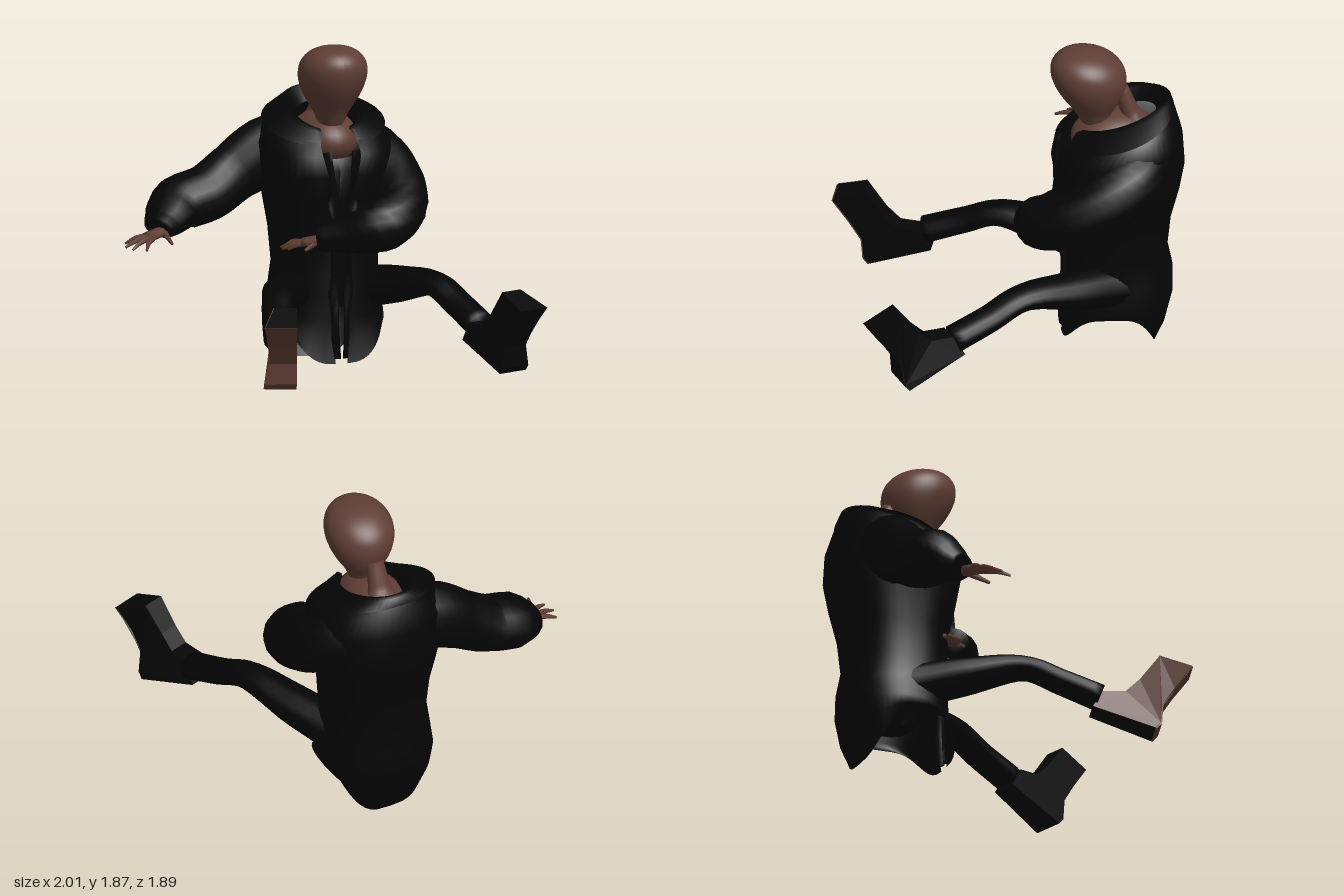
import * as THREE from 'three';

const V = (x, y, z) => new THREE.Vector3(x, y, z);
const CX = 0.18; // body centre line

const mat = (name, color, side = THREE.FrontSide) => {
  const m = new THREE.MeshStandardMaterial({ color, side });
  m.name = name;
  return m;
};

// Skin a list of rings (equal length) into one smooth surface
function loft(rings, closed, capped) {
  const n = rings[0].length, pos = [], idx = [];
  rings.forEach(r => r.forEach(p => pos.push(p.x, p.y, p.z)));
  const steps = closed ? n : n - 1;
  for (let i = 0; i < rings.length - 1; i++)
    for (let j = 0; j < steps; j++) {
      const a = i * n + j, b = i * n + (j + 1) % n, c = a + n, d = b + n;
      idx.push(a, c, b, b, c, d);
    }
  if (capped) [0, rings.length - 1].forEach((i, end) => {
    const c = rings[i].reduce((s, p) => s.add(p), V(0, 0, 0)).divideScalar(n);
    const k = pos.length / 3;
    pos.push(c.x, c.y, c.z);
    for (let j = 0; j < n; j++) {
      const a = i * n + j, b = i * n + (j + 1) % n;
      if (end) idx.push(k, b, a); else idx.push(k, a, b);
    }
  });
  const g = new THREE.BufferGeometry();
  g.setAttribute('position', new THREE.Float32BufferAttribute(pos, 3));
  g.setIndex(idx);
  g.computeVertexNormals();
  return g;
}

// Limb along points [x, y, z, sideRadius, upRadius]
function limb(pts, steps = 16, sides = 16) {
  const curve = new THREE.CatmullRomCurve3(pts.map(p => V(p[0], p[1], p[2])));
  const rings = [];
  for (let i = 0; i <= steps; i++) {
    const t = i / steps, f = t * (pts.length - 1);
    const k = Math.min(Math.floor(f), pts.length - 2);
    const mix = c => THREE.MathUtils.lerp(pts[k][c] ?? pts[k][3], pts[k + 1][c] ?? pts[k + 1][3], f - k);
    const c = curve.getPoint(t), T = curve.getTangent(t);
    const S = T.clone().cross(V(0, 1, 0)).normalize(), U = S.clone().cross(T);
    rings.push(Array.from({ length: sides }, (_, j) => {
      const a = j / sides * Math.PI * 2;
      return c.clone().addScaledVector(S, Math.cos(a) * mix(3)).addScaledVector(U, Math.sin(a) * mix(4));
    }));
  }
  return loft(rings, true, true);
}

// Open band around the body; levels are [y, rx, zc, rz, backLift, frontGap, hemArch, boxiness]
function wrap(levels, n = 48) {
  return loft(levels.map(([y, rx, zc, rz, lift = 0, gap = 0.1, arch = 0, box = 1]) =>
    Array.from({ length: n + 1 }, (_, j) => {
      const a = gap + (Math.PI * 2 - 2 * gap) * j / n, s = Math.sin(a), c = Math.cos(a);
      const round = v => Math.sign(v) * Math.pow(Math.abs(v), box);
      const drop = arch * s * s + (arch && c > 0 ? 0.07 * c : 0);
      return V(CX - rx * round(s), y - lift * c + drop, zc + rz * round(c));
    })), false, false);
}

export function createModel() {
  const model = new THREE.Group();
  model.name = 'seatedFigure';
  const skin = mat('skin', 0x5f3e35);
  const cloth = mat('coatBlack', 0x050505, THREE.DoubleSide);
  const trouser = mat('trouserBlack', 0x040404);
  const leather = mat('shoeBlack', 0x060606);
  const add = (name, geo, m, parent = model) => {
    const mesh = new THREE.Mesh(geo, m);
    mesh.name = name;
    parent.add(mesh);
    return mesh;
  };

  // Head: smooth egg narrowing to the chin, sheared so the brow sits higher than the nape
  const egg = [[0, 0], [0.045, 0.005], [0.068, 0.05], [0.1, 0.13], [0.147, 0.21], [0.178, 0.28],
    [0.193, 0.35], [0.184, 0.42], [0.145, 0.475], [0.082, 0.508], [0, 0.52]];
  const profile = new THREE.SplineCurve(egg.map(p => new THREE.Vector2(...p))).getPoints(40);
  profile.forEach(p => { p.x = Math.max(p.x, 0); });
  const headGeo = new THREE.LatheGeometry(profile, 40).scale(1, 1, 1.08);
  const hp = headGeo.attributes.position;
  for (let i = 0; i < hp.count; i++) hp.setY(i, hp.getY(i) + 0.2 * hp.getZ(i));
  headGeo.computeVertexNormals();
  const head = add('head', headGeo, skin);
  head.position.set(CX, 1.35, -0.45);
  head.rotation.x = 0.11;

  // Neck and bare upper chest
  add('neck', limb([[CX, 1.36, -0.67, 0.11, 0.09], [CX, 1.46, -0.64, 0.065, 0.05],
    [CX, 1.6, -0.59, 0.05, 0.045]]), skin);
  const chest = add('chest', new THREE.SphereGeometry(1, 28, 18), skin);
  chest.scale.set(0.18, 0.15, 0.25);
  chest.position.set(CX, 1.31, -0.56);

  // Shirt under the coat
  add('shirt', wrap([[0.36, 0.2, -0.6, 0.2, 0, 0], [0.7, 0.24, -0.58, 0.24, 0, 0],
    [1.0, 0.27, -0.57, 0.28, 0, 0], [1.17, 0.26, -0.57, 0.3, 0, 0], [1.28, 0.2, -0.58, 0.26, 0.05, 0]]), cloth);

  // Coat body with arched hem and open front
  add('coatBody', wrap([
    [0, 0.28, -0.51, 0.26, 0, 0.03, 0.25, 0.6], [0.13, 0.32, -0.55, 0.28, 0, 0.06, 0.15, 0.75],
    [0.32, 0.33, -0.575, 0.305, 0, 0.1, 0, 0.9], [0.45, 0.31, -0.575, 0.305, 0, 0.1, 0, 0.9],
    [0.6, 0.295, -0.56, 0.29, 0, 0.1, 0, 0.9], [0.8, 0.31, -0.57, 0.3, 0, 0.1, 0, 0.88],
    [1.0, 0.34, -0.575, 0.345, 0, 0.12, 0, 0.85], [1.15, 0.37, -0.575, 0.37, 0, 0.18, 0, 0.85],
    [1.29, 0.375, -0.58, 0.355, 0.03, 0.25, 0, 0.88], [1.39, 0.335, -0.59, 0.31, 0.06, 0.34],
    [1.45, 0.21, -0.59, 0.25, 0.08, 0.45]]), cloth);

  // Folded collar
  add('collar', wrap([[1.38, 0.16, -0.57, 0.22, 0.08, 0.55], [1.465, 0.18, -0.59, 0.25, 0.075, 0.5],
    [1.46, 0.23, -0.59, 0.285, 0.08, 0.4], [1.4, 0.35, -0.58, 0.31, 0.09, 0.32]]), cloth);

  // Front edge strips
  for (const s of [-1, 1])
    add(s < 0 ? 'rightFrontEdge' : 'leftFrontEdge', limb([
      [CX + s * 0.03, 0.1, -0.26, 0.01, 0.03], [CX + s * 0.045, 0.55, -0.27, 0.012, 0.03],
      [CX + s * 0.055, 1.0, -0.235, 0.012, 0.035], [CX + s * 0.09, 1.28, -0.27, 0.012, 0.04]], 14, 8), cloth);

  // Sleeves: right arm stretched out, left arm folded across
  add('rightSleeve', limb([[0.08, 1.25, -0.7, 0.19, 0.2], [-0.12, 1.2, -0.72, 0.16, 0.2],
    [-0.3, 1.1, -0.72, 0.14, 0.17], [-0.46, 1.0, -0.7, 0.17, 0.16], [-0.63, 0.95, -0.69, 0.18, 0.155],
    [-0.74, 0.87, -0.63, 0.13, 0.1], [-0.79, 0.84, -0.6, 0.09, 0.065]], 24), cloth);
  add('leftSleeve', limb([[0.35, 1.24, -0.7, 0.17], [0.48, 1.16, -0.59, 0.18], [0.54, 1.05, -0.41, 0.17],
    [0.51, 0.95, -0.21, 0.15], [0.37, 0.88, -0.11, 0.15], [0.2, 0.83, -0.18, 0.11],
    [0.04, 0.8, -0.25, 0.075]], 26), cloth);

  // Hands: palm, four fingers and thumb
  const hand = (name, wrist, knuckle, tips, thumb) => {
    const g = new THREE.Group();
    g.name = name;
    model.add(g);
    add('palm', limb([[...wrist, 0.035, 0.03], [...knuckle, 0.06, 0.022]], 4, 8), skin, g);
    tips.forEach((t, i) => {
      const z = knuckle[2] + (i - 1.5) * 0.028;
      add('finger', limb([[knuckle[0] + 0.015, knuckle[1], z, 0.017, 0.016],
        [(knuckle[0] + t[0]) / 2, (knuckle[1] + t[1]) / 2 + 0.008, (z + t[2]) / 2, 0.015, 0.014],
        [...t, 0.007, 0.007]], 6, 6), skin, g);
    });
    add('thumb', limb([[...wrist, 0.025], [...thumb, 0.009]], 4, 6), skin, g);
  };
  hand('rightHand', [-0.76, 0.83, -0.58], [-0.86, 0.81, -0.54],
    [[-0.98, 0.77, -0.59], [-1.0, 0.765, -0.52], [-0.98, 0.765, -0.45], [-0.925, 0.775, -0.37]], [-0.76, 0.79, -0.42]);
  hand('leftHand', [0.06, 0.795, -0.25], [-0.03, 0.775, -0.3],
    [[-0.11, 0.74, -0.39], [-0.14, 0.735, -0.37], [-0.14, 0.73, -0.34], [-0.12, 0.735, -0.3]], [-0.04, 0.74, -0.23]);

  // Shoe side outline in (forward, up); the first five points run along the sole
  const sole = [[0.225, 0.59], [0.13, 0.46], [0.06, 0.35], [0.05, 0.23], [0.02, 0.195]];
  const upper = [[-0.33, 0.32], [-0.27, 0.43], [-0.14, 0.44], [-0.06, 0.52], [0.05, 0.665]];
  // Slab across the shoe whose outer side (sign s) leans inward towards the top
  const slab = (pts, s, depth, z) => {
    const shape = new THREE.Shape(pts.map(p => new THREE.Vector2(...p)));
    const g = new THREE.ExtrudeGeometry(shape, { depth, bevelEnabled: false }).translate(0, 0, z);
    const p = g.attributes.position;
    for (let i = 0; i < p.count; i++) {
      const rise = THREE.MathUtils.clamp((p.getY(i) - 0.2) / 0.25, 0, 1);
      const lean = Math.max(0, 0.07 - 0.3 * Math.max(0, p.getX(i)));
      if (p.getZ(i) * s > 0) p.setZ(i, p.getZ(i) - s * rise * lean);
    }
    g.computeVertexNormals();
    return g;
  };
  const outline = [...sole, ...upper];
  const strip = [...sole, ...sole.map(([u, y]) => [u + 0.007, y - 0.003]).reverse()];

  // Legs and shoes, mirrored about the body centre line
  for (const [side, s] of [['right', 1], ['left', -1]]) {
    const mx = x => CX + s * (x - CX);
    add(side + 'Leg', limb([[0.05, 0.4, -0.74, 0.11, 0.11], [0.0, 0.43, -0.58, 0.13, 0.13],
      [-0.15, 0.5, -0.27, 0.125, 0.105], [-0.28, 0.555, 0.03, 0.095, 0.065],
      [-0.35, 0.48, 0.22, 0.09, 0.07], [-0.41, 0.4, 0.43, 0.09, 0.075]]
      .map(p => [mx(p[0]), ...p.slice(1)]), 24), trouser);

    const shoe = new THREE.Group();
    shoe.name = side + 'Shoe';
    shoe.position.set(mx(-0.495), 0, 0.7);
    shoe.rotation.y = Math.atan2(-0.954, -0.3 * s);
    model.add(shoe);
    add('shoeBody', slab(outline, s, 0.18, -0.09), leather, shoe);
    add('sole', slab(strip, s, 0.18, -0.09), s > 0 ? skin : leather, shoe);
    // The right shoe carries a brown outer panel
    if (s > 0) add('outerPanel', slab(outline, s, 0.005, 0.09), skin, shoe);
  }
  return model;
}
